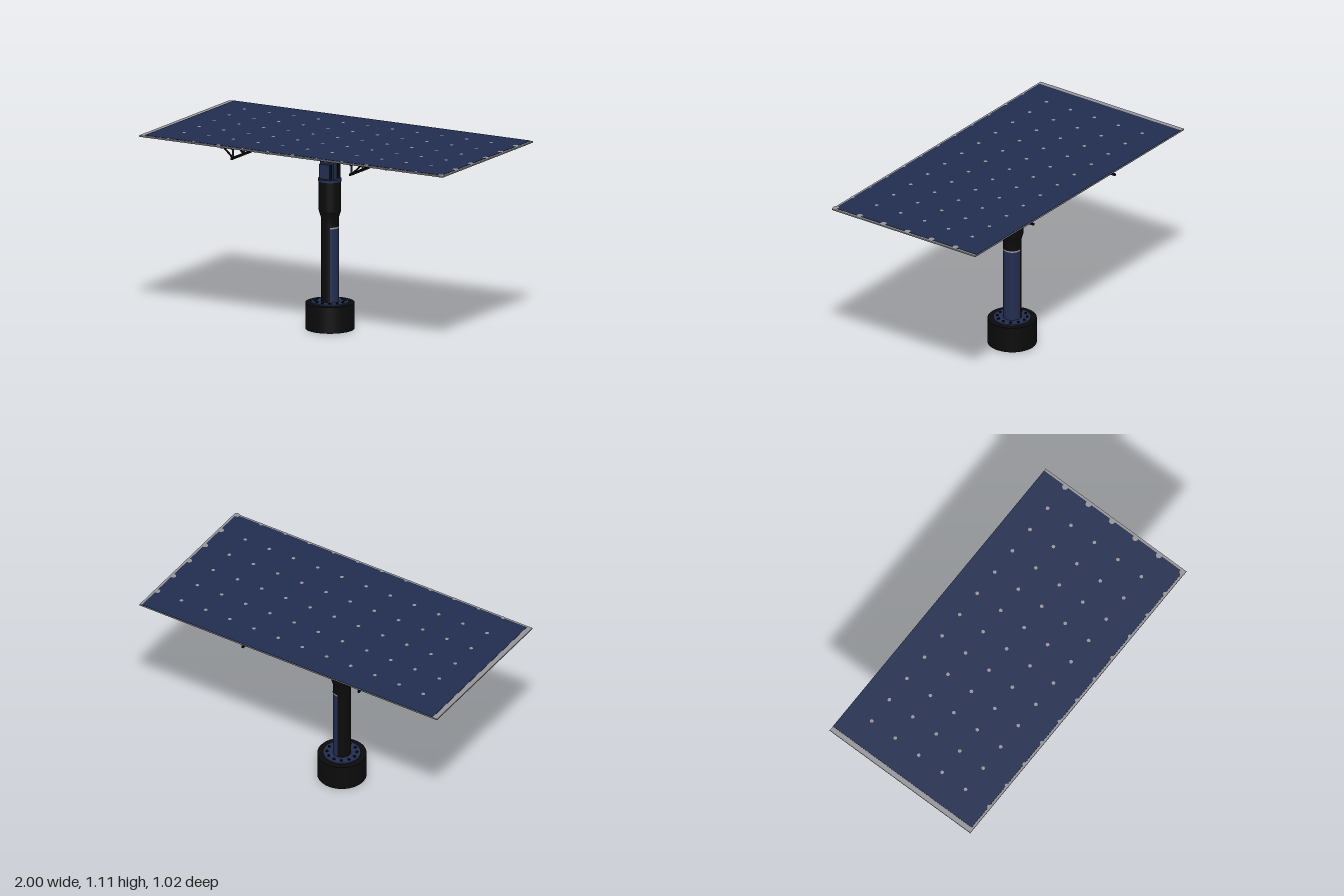
import * as THREE from 'three';
import { mergeGeometries } from 'three/addons/utils/BufferGeometryUtils.js';

const material = (name, color) => {
  const m = new THREE.MeshStandardMaterial({ color });
  m.name = name;
  return m;
};

export function createModel() {
  const navy = material('navy', 0x222d50);
  const black = material('black', 0x0b0b0b);
  const grey = material('grey', 0x96969a);
  const model = new THREE.Group();
  model.name = 'solarTracker';
  const CX = -0.04; // mast axis

  const add = (name, geometry, mat, x = 0, y = 0, z = 0, parent = model) => {
    const mesh = new THREE.Mesh(geometry, mat);
    mesh.name = name;
    mesh.position.set(x, y, z);
    parent.add(mesh);
    return mesh;
  };
  // box from its minimum and maximum corners
  const box = (name, mat, [x0, y0, z0], [x1, y1, z1], parent) =>
    add(name, new THREE.BoxGeometry(x1 - x0, y1 - y0, z1 - z0), mat,
      (x0 + x1) / 2, (y0 + y1) / 2, (z0 + z1) / 2, parent);
  const cylinder = (name, mat, r, y0, y1, seg = 48) =>
    add(name, new THREE.CylinderGeometry(r, r, y1 - y0, seg), mat, CX, (y0 + y1) / 2, 0);
  // open part of a tube; angles in degrees from +z towards +x
  const arc = (name, mat, r, y0, y1, from, to) =>
    add(name, new THREE.CylinderGeometry(r, r, y1 - y0, 40, 1, true,
      THREE.MathUtils.degToRad(from), THREE.MathUtils.degToRad(to - from)), mat, CX, (y0 + y1) / 2, 0);
  // square bar between two points
  const bar = (name, mat, a, b, t, parent) => {
    const p = new THREE.Vector3(...a), q = new THREE.Vector3(...b);
    const mid = p.clone().add(q).multiplyScalar(0.5);
    const mesh = add(name, new THREE.BoxGeometry(t, t, p.distanceTo(q)), mat, mid.x, mid.y, mid.z, parent);
    mesh.lookAt(q);
    return mesh;
  };

  // Foundation, bolted flange
  cylinder('foundation', black, 0.14, 0, 0.152);
  cylinder('baseFlange', navy, 0.107, 0.152, 0.159);
  for (let i = 0; i < 12; i++) {
    const a = (i / 12) * Math.PI * 2;
    add('flangeBolt', new THREE.CylinderGeometry(0.008, 0.008, 0.008, 6), black,
      CX + Math.sin(a) * 0.085, 0.162, Math.cos(a) * 0.085);
  }

  // Two-tone mast with a pale band
  arc('mastNavySide', navy, 0.052, 0.155, 0.59, 30, 185);
  arc('mastBlackSide', black, 0.052, 0.155, 0.6, 185, 390);
  arc('mastBand', grey, 0.0525, 0.588, 0.597, 30, 185);

  // Flared collar and cap
  const collar = [[0.052, 0.595], [0.052, 0.65], [0.064, 0.69], [0.064, 0.69], [0.064, 0.86]]
    .map(([r, y]) => new THREE.Vector2(r, y));
  add('collar', new THREE.LatheGeometry(collar, 48), black, CX);
  cylinder('collarCap', navy, 0.067, 0.86, 0.875);

  // Drive head: face order +x, -x, +y, -y, +z, -z
  box('driveHead', [navy, black, navy, black, navy, black], [CX - 0.045, 0.875, -0.035], [CX + 0.045, 0.985, 0.037]);
  box('driveSidePlate', black, [CX + 0.045, 0.88, -0.036], [CX + 0.049, 0.966, 0]);
  box('gearbox', [black, black, navy, black, navy, black], [CX - 0.035, 0.88, 0.037], [CX + 0.035, 0.966, 0.063]);

  // Torque beam with clamps over the head
  const beam = add('torqueBeam', new THREE.CylinderGeometry(0.019, 0.019, 0.78, 24), black, CX, 1.007, 0);
  beam.rotation.z = Math.PI / 2;
  for (const s of [-1, 1])
    box('beamClamp', black, [CX + s * 0.022 - 0.008, 0.975, -0.024], [CX + s * 0.022 + 0.008, 1.031, 0.024]);

  // Triangular trusses at both beam ends
  for (const s of [-1, 1]) {
    const truss = new THREE.Group();
    truss.name = s > 0 ? 'leftTruss' : 'rightTruss';
    model.add(truss);
    const xi = CX + s * 0.39, xo = CX + s * 0.456;
    const rails = { lower: [xi, 1.03], upperInner: [xi, 1.089], upperOuter: [xo, 1.089] };
    for (const [name, [x, y]] of Object.entries(rails))
      bar(name + 'Rail', black, [x, y, -0.44], [x, y, 0.44], 0.012, truss);
    for (const z of [-0.42, -0.3, -0.18, -0.09, 0.09, 0.18, 0.3, 0.42]) {
      bar('uprightRung', navy, [xi, 1.03, z], [xi, 1.089, z], 0.008, truss);
      bar('diagonalRung', black, [xi, 1.03, z], [xo, 1.089, z], 0.008, truss);
      bar('topRung', navy, [xi, 1.089, z], [xo, 1.089, z], 0.008, truss);
    }
    box('beamEndPlate', navy, [xi - 0.004, 0.974, -0.04], [xi + 0.004, 1.085, 0.04], truss);
  }

  // Purlins under the panel
  for (let i = -2; i <= 2; i++)
    box('purlin', [grey, grey, grey, navy, grey, grey], [-0.82, 1.095, i * 0.204 - 0.012], [0.74, 1.105, i * 0.204 + 0.012]);

  // Panel: back sheet, pale frame, cell sheet
  box('backSheet', black, [-1, 1.104, -0.505], [1, 1.107, 0.505]);
  box('panelFrame', grey, [-1, 1.107, -0.505], [1, 1.112, 0.505]);
  box('cellSheet', navy, [-0.97, 1.112, -0.505], [0.985, 1.114, 0.492]);

  // Pale gaps where the cell corners meet
  const gaps = [];
  for (let i = 0; i < 12; i++)
    for (let j = 0; j < 6; j++) {
      const r = i === 11 ? 0.018 : 0.011;
      gaps.push(new THREE.CircleGeometry(r, 8).rotateX(-Math.PI / 2)
        .translate(-0.81 + i * 0.1627, 1.1148, -0.35 + j * 0.1685));
    }
  add('cellGaps', mergeGeometries(gaps), grey);

  return model;
}
